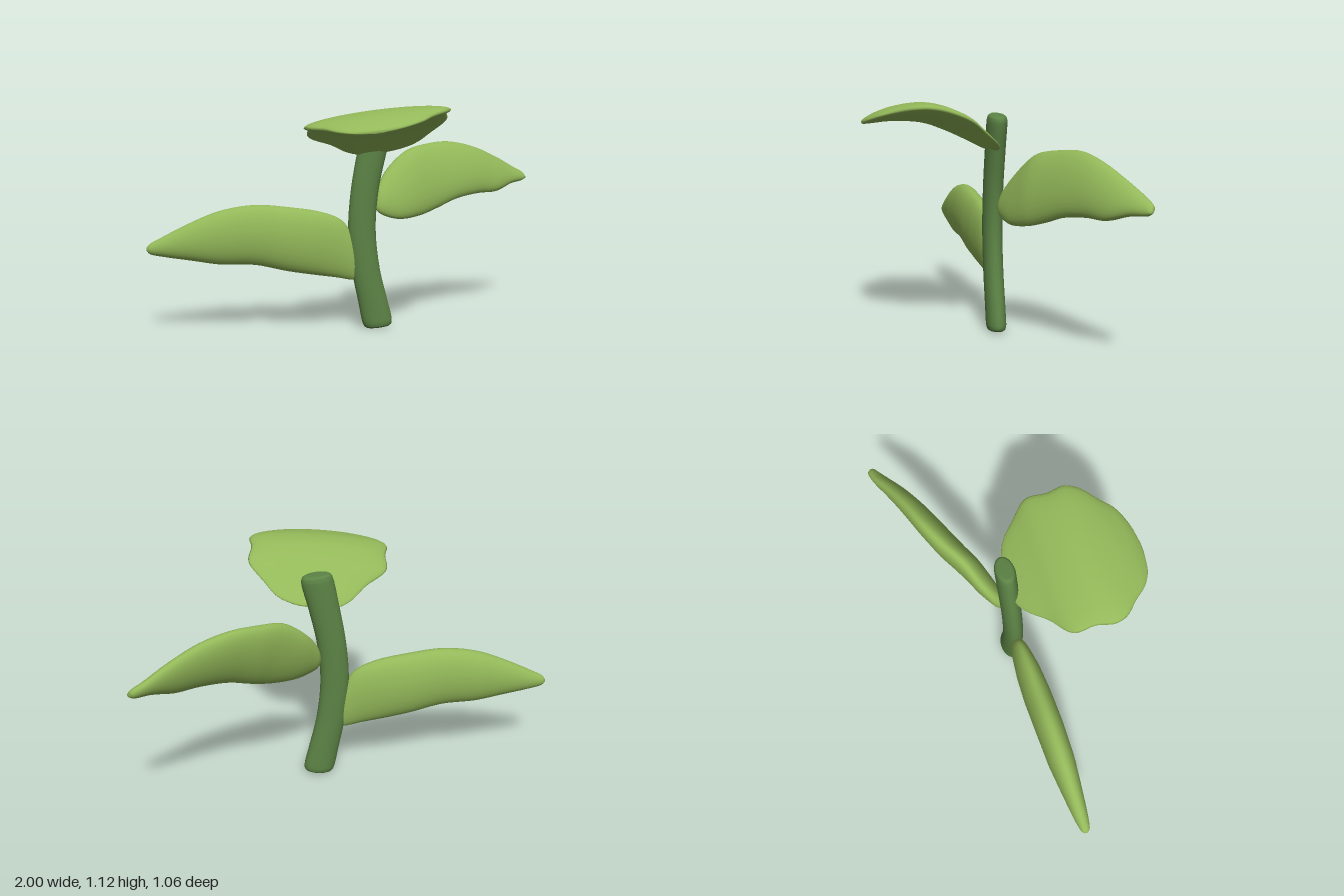
import * as THREE from 'three';

const leafGreen = new THREE.MeshStandardMaterial({ color: 0x93b859 });
leafGreen.name = 'leaf green';
const stemGreen = new THREE.MeshStandardMaterial({ color: 0x5c8345 });
stemGreen.name = 'stem green';

// Lofts elliptical sections. Each row: [edge A xyz, edge B xyz, half thickness].
// n is the thickness direction; both ends are closed by a pole.
function loft(name, rows, n, material, steps = 5, sides = 32) {
  const normal = new THREE.Vector3(...n).normalize();
  const curveOf = (fn) => new THREE.CatmullRomCurve3(rows.map(fn), false, 'centripetal');
  const curveA = curveOf((r) => new THREE.Vector3(...r[0]));
  const curveB = curveOf((r) => new THREE.Vector3(...r[1]));
  const count = (rows.length - 1) * steps;
  const position = [];
  const index = [];
  const mids = [];
  let across;
  for (let i = 0; i <= count; i++) {
    const t = i / count;
    const a = curveA.getPoint(t);
    const b = curveB.getPoint(t);
    const k = Math.min(Math.floor(i / steps), rows.length - 2);
    const thick = THREE.MathUtils.lerp(rows[k][2], rows[k + 1][2], i / steps - k);
    const mid = a.clone().add(b).multiplyScalar(0.5);
    const half = a.sub(b).multiplyScalar(0.5);
    if (i === count >> 1) across = half.clone();
    mids.push(mid);
    for (let j = 0; j < sides; j++) {
      const angle = (j / sides) * Math.PI * 2;
      const p = mid.clone().addScaledVector(half, Math.cos(angle))
        .addScaledVector(normal, thick * Math.sin(angle));
      position.push(p.x, p.y, p.z);
    }
  }
  const first = position.length / 3;
  position.push(...mids[0].toArray(), ...mids[count].toArray());
  const along = mids[count].clone().sub(mids[0]);
  const flip = across.cross(normal).dot(along) < 0;
  const face = (a, b, c) => (flip ? index.push(a, c, b) : index.push(a, b, c));
  for (let j = 0; j < sides; j++) {
    const next = (j + 1) % sides;
    for (let i = 0; i < count; i++) {
      const p = i * sides;
      face(p + j, p + next, p + sides + j);
      face(p + next, p + sides + next, p + sides + j);
    }
    face(first, next, j);
    face(first + 1, count * sides + j, count * sides + next);
  }
  const geometry = new THREE.BufferGeometry();
  geometry.setAttribute('position', new THREE.Float32BufferAttribute(position, 3));
  geometry.setIndex(index);
  geometry.computeVertexNormals();
  const mesh = new THREE.Mesh(geometry, material);
  mesh.name = name;
  return mesh;
}

export function createModel() {
  const group = new THREE.Group();
  group.name = 'plant';

  // Bowed stem with an oval section and softly rounded ends
  const stemRows = [
    // y, centre x, half width, half depth
    [0.006, 0.135, 0.055, 0.032], [0.014, 0.134, 0.067, 0.042], [0.035, 0.13, 0.074, 0.047],
    [0.14, 0.107, 0.073, 0.047], [0.3, 0.072, 0.07, 0.047], [0.5, 0.052, 0.069, 0.047],
    [0.7, 0.066, 0.069, 0.047], [0.88, 0.1, 0.072, 0.047], [1.02, 0.131, 0.074, 0.047],
    [1.042, 0.134, 0.067, 0.042], [1.05, 0.135, 0.055, 0.032],
  ].map(([y, x, w, d]) => {
    // ends are cut square to the bow
    const tilt = (y - 0.53) * -0.4 * w;
    return [[x - w, y - tilt * 0.5, -0.098], [x + w, y + tilt * 0.5, -0.098], d];
  });
  group.add(loft('stem', stemRows, [0, 0, 1], stemGreen));

  // Low leaf, standing on edge and reaching to the right
  const lowRows = [
    // upper x, y, lower x, y, half thickness
    [0.03, 0.38, 0.035, 0.27, 0.01], [0, 0.48, 0.02, 0.25, 0.03],
    [-0.05, 0.55, -0.08, 0.263, 0.045], [-0.15, 0.592, -0.2, 0.28, 0.06],
    [-0.3, 0.617, -0.32, 0.3, 0.068], [-0.48, 0.632, -0.48, 0.335, 0.068],
    [-0.65, 0.605, -0.65, 0.341, 0.064], [-0.8, 0.545, -0.78, 0.362, 0.05],
    [-0.93, 0.48, -0.92, 0.385, 0.034], [-0.985, 0.45, -0.985, 0.4, 0.022],
    [-1, 0.432, -1, 0.415, 0.01],
  ].map(([ax, ay, bx, by, t]) => [[ax, ay, -0.098], [bx, by, -0.098], t]);
  group.add(loft('lowLeaf', lowRows, [0, 0, 1], leafGreen));

  // Middle leaf, reaching left and back, its upper edge leaning back
  const middleRows = [
    [[0.125, 0.66, -0.125], [0.125, 0.6, -0.11], 0.012],
    [[0.14, 0.71, -0.15], [0.15, 0.575, -0.11], 0.03],
    [[0.2, 0.8, -0.2], [0.24, 0.545, -0.13], 0.045],
    [[0.3, 0.88, -0.25], [0.36, 0.555, -0.18], 0.055],
    [[0.42, 0.908, -0.32], [0.46, 0.585, -0.23], 0.058],
    [[0.54, 0.915, -0.375], [0.57, 0.625, -0.28], 0.055],
    [[0.68, 0.885, -0.42], [0.7, 0.645, -0.34], 0.05],
    [[0.82, 0.825, -0.47], [0.81, 0.648, -0.39], 0.042],
    [[0.93, 0.765, -0.515], [0.91, 0.682, -0.455], 0.03],
    [[0.985, 0.735, -0.525], [0.98, 0.692, -0.5], 0.02],
    [[1, 0.715, -0.515], [1, 0.702, -0.51], 0.008],
  ];
  group.add(loft('middleLeaf', middleRows, [0.4, 0.25, 0.9], leafGreen));

  // Top leaf, lying flat, arching forward and rolled slightly to one side
  const topRows = [
    // z, right edge x, left edge x, centre y, half thickness
    [-0.092, 0.05, 0.2, 0.882, 0.008], [-0.08, 0.01, 0.25, 0.888, 0.014],
    [-0.05, -0.04, 0.315, 0.908, 0.02], [0.02, -0.12, 0.375, 0.957, 0.028],
    [0.1, -0.23, 0.43, 1.01, 0.036], [0.2, -0.242, 0.408, 1.052, 0.042],
    [0.28, -0.266, 0.411, 1.066, 0.042], [0.34, -0.252, 0.38, 1.066, 0.038],
    [0.41, -0.19, 0.305, 1.058, 0.032], [0.47, -0.14, 0.245, 1.044, 0.024],
    [0.51, -0.075, 0.155, 1.031, 0.014], [0.525, 0.01, 0.07, 1.025, 0.007],
  ].map(([z, l, r, y, t]) => [
    [l, y + 0.12 * (l - 0.08), z], [r, y + 0.12 * (r - 0.08), z], t,
  ]);
  group.add(loft('topLeaf', topRows, [-0.12, 1, 0], leafGreen));

  return group;
}
